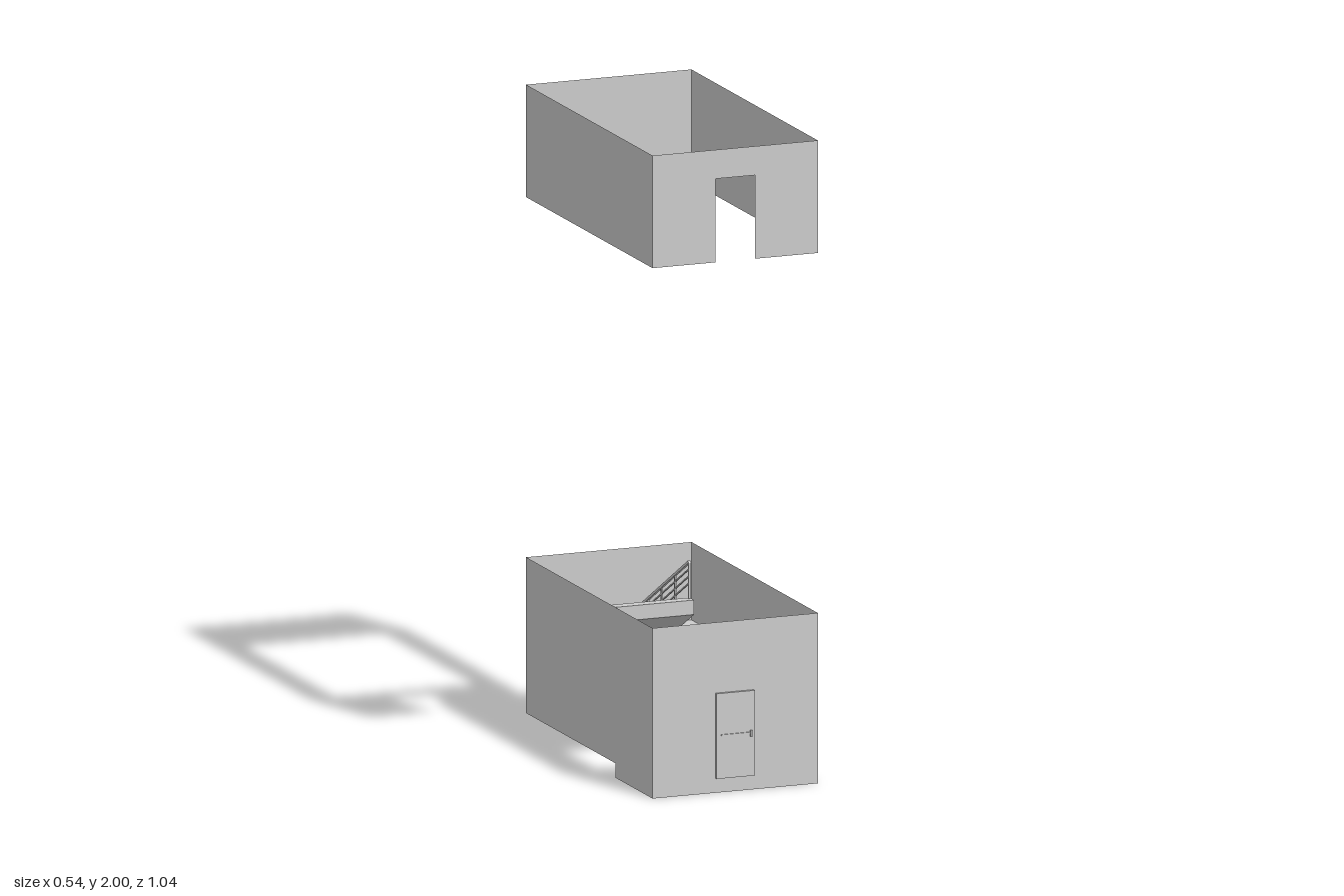
import * as THREE from 'three';

const X = 0.27, BACK = -0.52, FRONT = 0.5;      // outer walls
const FLOOR = 0.045, MID = 0.2875, TOP = 0.53;  // storey levels
const THICK = 0.045, WELL = 0.0125, RAIL_X = 0.025;
const RUN = 0.0359, STEPS = 12, RISE = (MID - FLOOR) / STEPS;
const SLOPE = RISE / RUN;

const solid = new THREE.MeshStandardMaterial({ color: 0xcccccc, flatShading: true });
const sheet = new THREE.MeshStandardMaterial({ color: 0xcccccc, flatShading: true, side: THREE.DoubleSide });

function add(parent, name, geometry, material = solid) {
  const mesh = new THREE.Mesh(geometry, material);
  mesh.name = name;
  parent.add(mesh);
  return mesh;
}

// Box given by its two extreme corners
function block(parent, name, [x0, y0, z0], [x1, y1, z1]) {
  const mesh = add(parent, name, new THREE.BoxGeometry(x1 - x0, y1 - y0, z1 - z0));
  mesh.position.set((x0 + x1) / 2, (y0 + y1) / 2, (z0 + z1) / 2);
}

// Square bar between two points
function bar(parent, name, a, b, size) {
  const from = new THREE.Vector3(...a), to = new THREE.Vector3(...b);
  const mesh = add(parent, name, new THREE.BoxGeometry(size, size, from.distanceTo(to) + size * 0.7));
  mesh.position.copy(from).add(to).multiplyScalar(0.5);
  mesh.lookAt(to);
}

// Thin wall enclosure, open above and below, with an optional doorway in front
function walls(name, y0, y1, doorTop) {
  const group = new THREE.Group();
  group.name = name;
  const h = y1 - y0, depth = FRONT - BACK, zc = (FRONT + BACK) / 2;
  for (const s of [-1, 1]) {
    const side = add(group, s > 0 ? 'leftWall' : 'rightWall', new THREE.PlaneGeometry(depth, h), sheet);
    side.rotation.y = s * Math.PI / 2;
    side.position.set(s * X, y0 + h / 2, zc);
  }
  const back = add(group, 'backWall', new THREE.PlaneGeometry(2 * X, h), sheet);
  back.rotation.y = Math.PI;
  back.position.set(0, y0 + h / 2, BACK);
  const outline = [[-X, y0], [-X, y1], [X, y1], [X, y0]];
  if (doorTop) outline.push([0.065, y0], [0.065, doorTop], [-0.065, doorTop], [-0.065, y0]);
  const shape = new THREE.Shape(outline.map(p => new THREE.Vector2(...p)));
  add(group, 'frontWall', new THREE.ShapeGeometry(shape), sheet).position.z = FRONT;
  return group;
}

// Flight of stairs: (z, y) side profile extruded across x
function flight(parent, name, zStart, dir, y0, start, end, xMax) {
  const pts = [[start, y0 - THICK]];
  if (start !== zStart) pts.push([start, y0]);
  for (let i = 0; i < STEPS; i++) {
    const z = zStart + dir * RUN * i;
    pts.push([z, y0 + RISE * i], [z, y0 + RISE * (i + 1)]);
  }
  const y1 = y0 + RISE * STEPS;
  pts.push([end, y1], [end, y1 - THICK]);
  const shape = new THREE.Shape(pts.map(p => new THREE.Vector2(...p)));
  const geo = new THREE.ExtrudeGeometry(shape, { depth: X - WELL, bevelEnabled: false });
  geo.rotateY(-Math.PI / 2);
  geo.translate(xMax, 0, 0);
  add(parent, name, geo);
}

// Railing along a list of handrail points: parallel bars below the top rail
function railing(parent, name, path) {
  const group = new THREE.Group();
  group.name = name;
  for (let level = 0; level < 4; level++) {
    for (let i = 1; i < path.length; i++) {
      const [a, b] = [path[i - 1], path[i]].map(([x, y, z]) => [x, y - level * 0.022, z]);
      bar(group, level ? 'lowerRail' : 'handrail', a, b, level ? 0.004 : 0.008);
    }
  }
  parent.add(group);
}

export function createModel() {
  const model = new THREE.Group();
  model.name = 'stairwell';

  // Wall enclosures of the main storey and the detached upper level
  model.add(walls('storeyWalls', FLOOR, TOP));
  model.add(walls('upperWalls', 1.65, 2, 1.91));

  // Landings
  block(model, 'entranceLanding', [-X, 0, 0.2], [X, FLOOR, FRONT]);
  block(model, 'middleLanding', [-X, MID - THICK, BACK], [X, MID, -0.235]);

  // Two opposing flights
  flight(model, 'lowerFlight', 0.2, -1, FLOOR, 0.2, -0.235, X);
  flight(model, 'upperFlight', -0.23, 1, MID, -0.235, 0.2, -WELL);

  // Railings around the central well
  const railMid = 0.4, railLow = railMid - 0.435 * SLOPE, railTop = railMid + 0.44 * SLOPE;
  railing(model, 'railing', [
    [-RAIL_X, railLow, 0.19],
    [-RAIL_X, railLow, 0.22],
    [RAIL_X, railLow, 0.22],
    [RAIL_X, railMid, -0.215],
    [RAIL_X, railMid, -0.25],
    [-RAIL_X, railMid, -0.25],
    [-RAIL_X, railTop, 0.19],
  ]);
  for (let i = 0; i < 5; i++) {
    const zl = 0.22 - i * 0.10875, yl = railLow + (0.22 - zl) * SLOPE;
    const zu = -0.25 + i * 0.11, yu = railMid + (zu + 0.25) * SLOPE;
    bar(model, 'lowerPost', [RAIL_X, yl - 0.112, zl], [RAIL_X, yl, zl], 0.006);
    bar(model, 'upperPost', [-RAIL_X, yu - 0.112, zu], [-RAIL_X, yu, zu], 0.006);
  }

  // Door with push bar and handle on the front wall
  block(model, 'door', [-0.065, FLOOR, FRONT - 0.002], [0.06, 0.31, 0.51]);
  block(model, 'pushBar', [-0.05, 0.178, 0.51], [0.045, 0.182, 0.514]);
  block(model, 'doorHandle', [0.045, 0.168, 0.51], [0.05, 0.188, 0.518]);

  return model;
}
